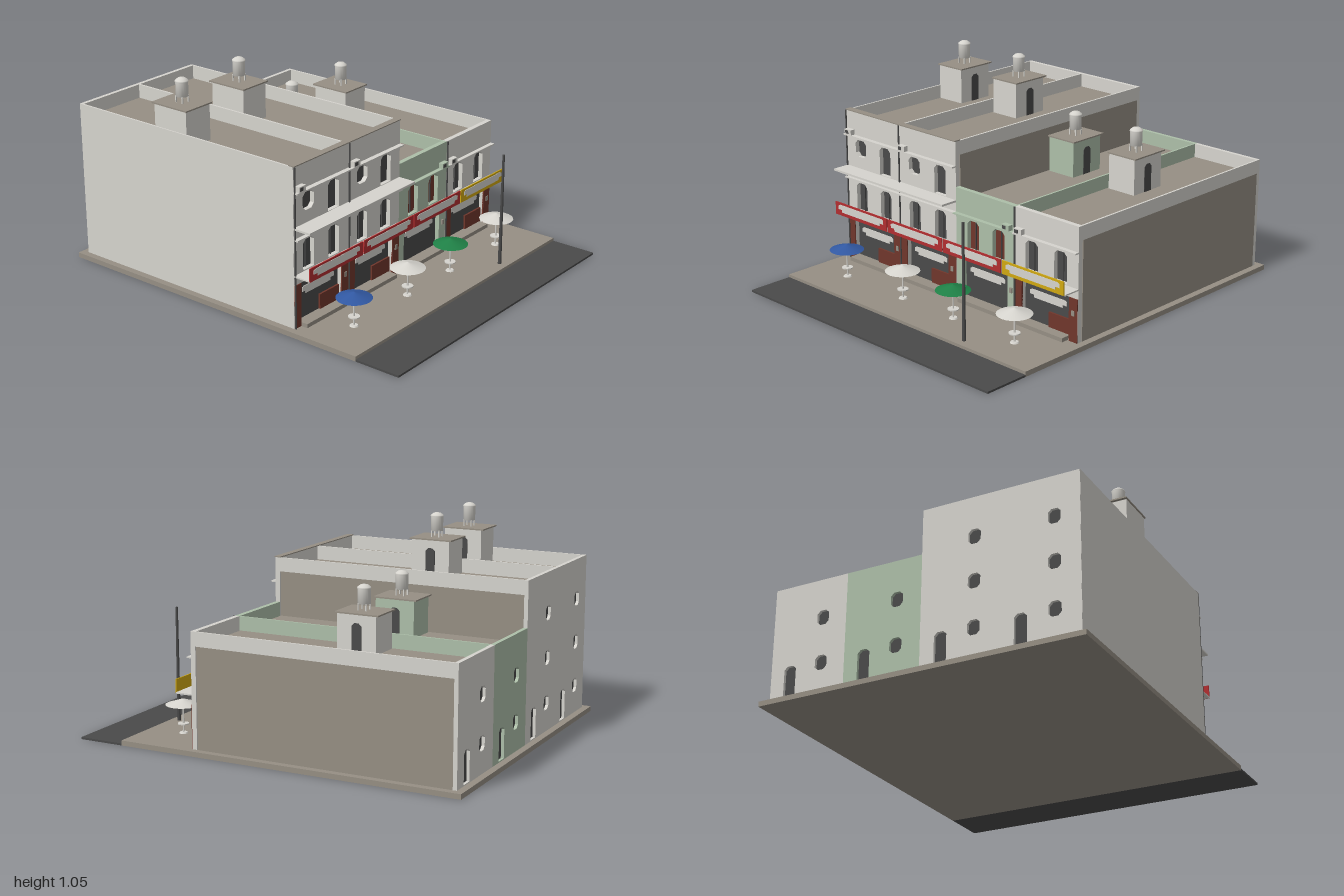
import * as THREE from 'three';

const mat = (name, color) => new THREE.MeshStandardMaterial({ name, color });
const M = {
  white: mat('off white', 0xd6d4ce),
  mint: mat('pale green', 0xadbfa9),
  stone: mat('concrete', 0x968f84),
  dark: mat('charcoal', 0x4a4a4a),
  red: mat('red', 0xb22e30),
  yellow: mat('yellow', 0xd0a812),
  blue: mat('blue', 0x3158a2),
  green: mat('green', 0x1f8046),
  brown: mat('red brown', 0x70362b),
};

function add(parent, name, geo, material) {
  const mesh = new THREE.Mesh(geo, material);
  mesh.name = name;
  parent.add(mesh);
  return mesh;
}

// Box given by its two extents on every axis
function box(parent, name, m, x0, x1, y0, y1, z0, z1) {
  const b = add(parent, name, new THREE.BoxGeometry(x1 - x0, y1 - y0, z1 - z0), m);
  b.position.set((x0 + x1) / 2, (y0 + y1) / 2, (z0 + z1) / 2);
  return b;
}

function cyl(parent, name, m, r0, r1, y0, y1, x, z, sides = 16) {
  const c = add(parent, name, new THREE.CylinderGeometry(r1, r0, y1 - y0, sides), m);
  c.position.set(x, (y0 + y1) / 2, z);
  return c;
}

// Outline with cut corners: c at the top, d at the bottom
function outline(Type, x, w, y0, y1, c = 0.018, d = 0) {
  const h = w / 2;
  const pts = [[-h + d, y0], [h - d, y0], [h, y0 + d], [h, y1 - c], [h - c, y1], [-h + c, y1], [-h, y1 - c], [-h, y0 + d]];
  return new Type(pts.map(([px, py]) => new THREE.Vector2(x + px, py)));
}

function plate(parent, name, m, shape, z, depth) {
  const p = add(parent, name, new THREE.ExtrudeGeometry(shape, { depth, bevelEnabled: false }), m);
  p.position.z = z;
  return p;
}

// Wall slab with openings
function wall(parent, name, m, x0, x1, y1, holes, z0, z1) {
  const s = outline(THREE.Shape, (x0 + x1) / 2, x1 - x0, 0.025, y1, 0);
  s.holes = holes.map((h) => outline(THREE.Path, ...h));
  plate(parent, name, m, s, z0, z1 - z0);
}

// Blank plaque with stepped ends
function plaque(parent, name, x, w, y0, y1, z) {
  const h = w / 2, s = 0.025, k = (y1 - y0) * 0.35;
  const pts = [[-h + s, y0], [h - s, y0], [h - s, y0 + k], [h, y0 + k], [h, y1 - k / 2], [h - s / 2, y1],
    [-h + s / 2, y1], [-h, y1 - k / 2], [-h, y0 + k], [-h + s, y0 + k]];
  plate(parent, name, M.white, new THREE.Shape(pts.map(([a, b]) => new THREE.Vector2(x + a, b))), z, 0.003);
}

function waterTank(parent, x, y, z) {
  const g = new THREE.Group();
  g.name = 'waterTank';
  g.position.set(x, y, z);
  for (const sx of [-1, 1]) for (const sz of [-1, 1]) {
    box(g, 'tankLeg', M.white, sx * 0.02 - 0.003, sx * 0.02 + 0.003, 0, 0.034, sz * 0.02 - 0.003, sz * 0.02 + 0.003);
  }
  const profile = [[0, 0.03], [0.03, 0.03], [0.03, 0.1], [0.033, 0.102], [0.031, 0.108], [0.018, 0.118], [0, 0.121]];
  add(g, 'tankBody', new THREE.LatheGeometry(profile.map((p) => new THREE.Vector2(...p)), 18), M.white);
  parent.add(g);
}

function stairHut(parent, m, x0, roof) {
  const top = roof + 0.18;
  box(parent, 'stairHut', m, x0 + 0.005, x0 + 0.165, roof, top, -0.46, -0.26);
  box(parent, 'hutRoof', M.stone, x0, x0 + 0.175, top, top + 0.007, -0.475, -0.253);
  const door = plate(parent, 'hutDoor', M.dark, outline(THREE.Shape, 0, 0.05, roof, roof + 0.14, 0.014), 0, 0.004);
  door.rotation.y = Math.PI / 2;
  door.position.set(x0 + 0.163, 0, -0.36);
  waterTank(parent, x0 + 0.088, top + 0.007, -0.36);
}

const W = 0.3925;

function building(index, { tall, m, sign, acX }) {
  const g = new THREE.Group();
  g.name = 'building' + (index + 1);
  const x0 = -0.785 + index * W, x1 = x0 + W, mid = (x0 + x1) / 2;
  const top = tall ? 0.815 : 0.59, roof = top - 0.07;
  const isMint = m === M.mint;

  // Core block and parapets
  box(g, 'core', M.stone, x0, x1, 0.025, roof, -0.945, 0.355);
  box(g, 'sideParapet', m, x1 - 0.01, x1, roof, top, -0.945, 0.36);
  if (index === 0) box(g, 'leftWall', m, x0 - 0.001, x0 + 0.008, 0.025, top, -0.964, 0.384);
  if (tall) box(g, 'coping', M.stone, x0, x1, top, top + 0.005, 0.355, 0.39);

  // Front wall openings: shop, first floor doors, upper window and door
  const a = x0 + (isMint ? 0.115 : 0.103), b = x0 + 0.283;
  const sx = x0 + 0.192, sw = 0.295;
  const holes = [[sx, sw, 0.03, 0.24, 0], [a, 0.078, 0.295, 0.445], [b, 0.078, 0.295, 0.445]];
  if (tall) holes.push([a, 0.078, 0.585, 0.672, 0.018, 0.018], [b, 0.078, 0.526, 0.672]);
  wall(g, 'frontWall', m, x0, x1, top, holes, 0.36, 0.385);
  box(g, 'shopInterior', M.dark, x0 + 0.01, x1 - 0.01, 0.026, 0.26, 0.355, 0.362);
  box(g, 'upperGlazing', isMint ? M.brown : M.dark, x0 + 0.01, x1 - 0.01, 0.28, tall ? 0.7 : 0.47, 0.355, 0.362);
  // Mullions on the upper openings
  for (const x of [a, b]) box(g, 'mullion', M.dark, x - 0.002, x + 0.002, 0.295, 0.44, 0.362, 0.368);

  // Shop front
  if (!isMint) {
    box(g, 'pillarLeft', M.brown, x0 + 0.002, sx - sw / 2, 0.025, 0.24, 0.38, 0.389);
    box(g, 'pillarRight', M.brown, sx + sw / 2, x1 - 0.002, 0.025, 0.24, 0.38, 0.389);
    box(g, 'shopPanel', M.brown, x0 + 0.2, sx + sw / 2, 0.03, 0.12, 0.36, 0.372);
  }
  plaque(g, 'windowPlaque', sx, 0.23, 0.163, 0.203, 0.365);
  box(g, 'shopStep', M.stone, sx - 0.15, sx + 0.14, 0.025, 0.045, 0.362, 0.425);
  box(g, 'menuBox', M.stone, x0 + 0.358, x0 + 0.374, 0.155, 0.18, 0.385, 0.393);

  // Awning slab and signboard
  box(g, 'awning', m, x0, x1, 0.283, 0.29, 0.385, 0.472);
  box(g, 'signboard', sign, x0 + 0.002, x1 - 0.006, 0.284, 0.351, 0.471, 0.477);
  plaque(g, 'signPlaque', mid - 0.002, 0.335, 0.302, 0.341, 0.476);

  // Ledges
  box(g, 'ledge', m, x0, x1, 0.461, 0.468, 0.385, 0.408);
  if (tall) {
    box(g, 'balconySlab', m, x0, x1, 0.514, 0.524, 0.385, 0.478);
    box(g, 'upperLedge', m, x0, x1, 0.688, 0.695, 0.385, 0.41);
  }

  // Air conditioner on the top ledge
  const ay = tall ? 0.695 : 0.468, ax = x0 + acX;
  box(g, 'airConditioner', m, ax - 0.023, ax + 0.023, ay, ay + 0.027, 0.385, 0.41);
  box(g, 'airConditionerGrille', M.dark, ax - 0.018, ax + 0.004, ay + 0.005, ay + 0.022, 0.408, 0.411);

  // Rear wall with a door and stacked windows
  const rear = [[x0 + 0.29, 0.062, 0.03, 0.185, 0.016]];
  for (const y of tall ? [0.17, 0.395, 0.615] : [0.17, 0.395]) {
    rear.push([x0 + 0.125, 0.062, y - 0.036, y + 0.036, 0.016, 0.016]);
  }
  wall(g, 'rearWall', m, x0, x1, top, rear, -0.965, -0.945);
  box(g, 'rearGlazing', M.dark, x0 + 0.01, x1 - 0.01, 0.026, roof - 0.03, -0.95, -0.944);

  stairHut(g, m, x0 + (index ? 0.003 : 0), roof);
  return g;
}

function parasolTable(x, m) {
  const g = new THREE.Group();
  g.name = 'parasolTable';
  g.position.set(x, 0.025, 0.575);
  cyl(g, 'parasolBase', M.white, 0.022, 0.018, 0, 0.006, 0, 0);
  cyl(g, 'parasolPole', M.white, 0.004, 0.004, 0, 0.165, 0, 0, 8);
  cyl(g, 'tableTop', M.white, 0.028, 0.028, 0.045, 0.05, 0, 0);
  cyl(g, 'parasolCanopy', m, 0.086, 0.001, 0.143, 0.172, 0, 0, 24);
  return g;
}

export function createModel() {
  const root = new THREE.Group();
  root.name = 'shopRow';

  // Ground
  box(root, 'pavement', M.stone, -0.82, 0.82, 0, 0.025, -1, 0.765);
  box(root, 'road', M.dark, -0.82, 0.82, 0, 0.01, 0.765, 1);

  // Buildings
  [
    { tall: true, m: M.white, sign: M.red, acX: 0.035 },
    { tall: true, m: M.white, sign: M.red, acX: 0.035 },
    { tall: false, m: M.mint, sign: M.red, acX: 0.35 },
    { tall: false, m: M.white, sign: M.yellow, acX: 0.035 },
  ].forEach((spec, i) => root.add(building(i, spec)));

  // Downpipes at the joints
  for (const [x, top] of [[-0.782, 0.815], [-0.3925, 0.815], [0.3925, 0.59]]) {
    cyl(root, 'downpipe', M.dark, 0.004, 0.004, 0.025, top, x, 0.391, 8);
  }

  // Street furniture
  [[-0.59, M.blue], [-0.18, M.white], [0.17, M.green], [0.57, M.white]].forEach(([x, m]) => root.add(parasolTable(x, m)));
  cyl(root, 'streetPole', M.dark, 0.009, 0.006, 0.02, 0.6, 0.39, 0.72, 10);

  return root;
}
